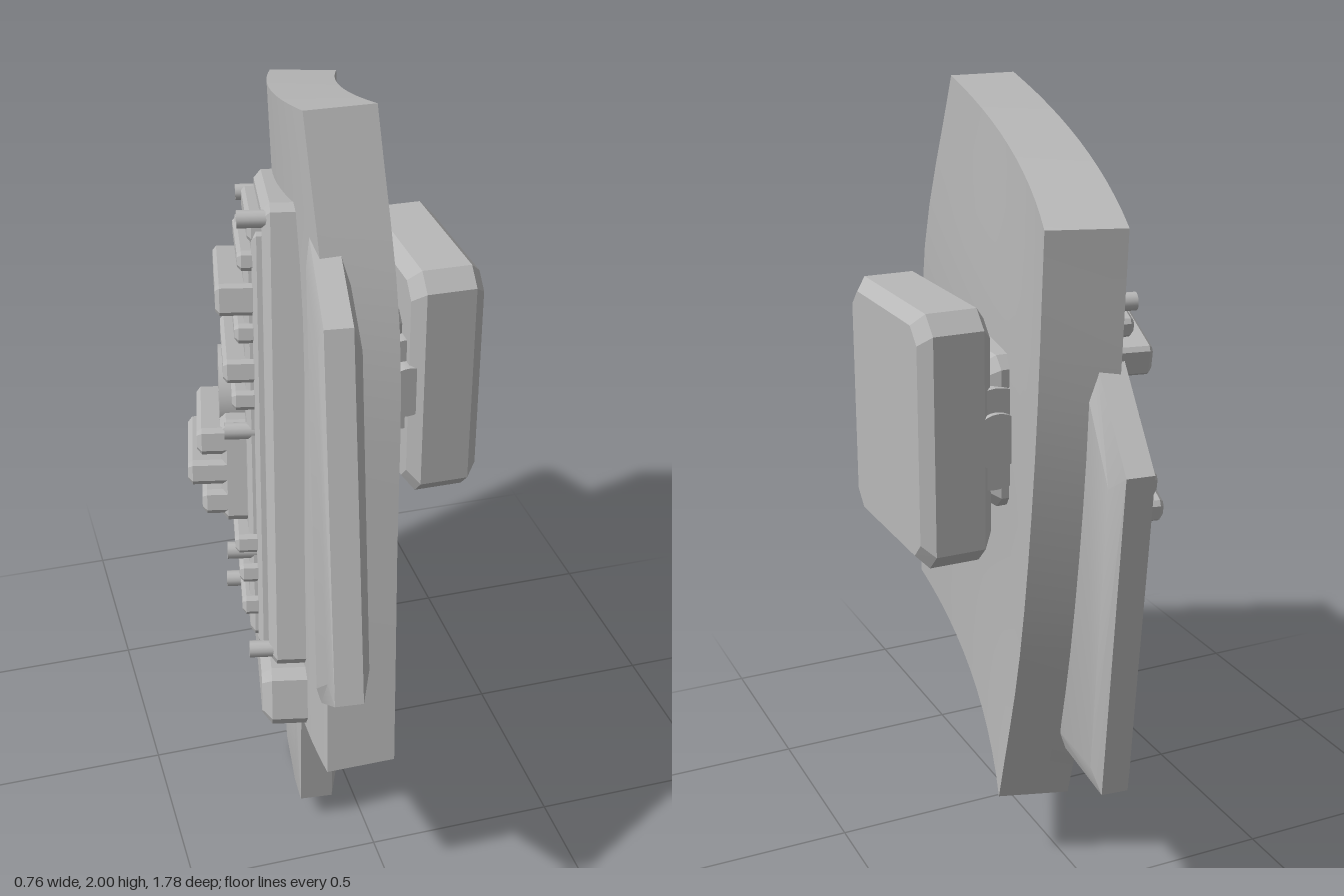
import * as THREE from 'three';
import { toCreasedNormals } from 'three/addons/utils/BufferGeometryUtils.js';

const grey = new THREE.MeshStandardMaterial({ color: 0xb8b8b8 });
grey.name = 'plain grey';

// Joins equal-length loops of points into a closed solid; caps are strips across each end loop.
function loft(rings, crease = 0.5) {
  const tris = [];
  const n = rings[0].length;
  const quad = (a, b, c, d) => tris.push(a, b, c, a, c, d);
  for (let r = 0; r + 1 < rings.length; r++) {
    for (let i = 0; i < n; i++) {
      const j = (i + 1) % n;
      quad(rings[r][i], rings[r][j], rings[r + 1][j], rings[r + 1][i]);
    }
  }
  const first = rings[0], last = rings[rings.length - 1];
  for (let i = 0; i < n / 2 - 1; i++) {
    const k = n - 1 - i;
    quad(first[i], first[k], first[k - 1], first[i + 1]);
    quad(last[i], last[i + 1], last[k - 1], last[k]);
  }
  // Turn the solid outward if its volume comes out negative.
  let volume = 0;
  const cross = new THREE.Vector3();
  for (let i = 0; i < tris.length; i += 3) volume += tris[i].dot(cross.crossVectors(tris[i + 1], tris[i + 2]));
  if (volume < 0) tris.reverse();
  const geometry = new THREE.BufferGeometry().setFromPoints(tris);
  geometry.computeVertexNormals();
  return toCreasedNormals(geometry, crease);
}

// Stacks copies of an outline at [depth, inset] levels, placed in space by a mapping.
function bevelled(outline, levels, place) {
  const as = outline.map(p => p[0]), bs = outline.map(p => p[1]);
  const ca = (Math.min(...as) + Math.max(...as)) / 2, ha = Math.max(...as) - ca;
  const cb = (Math.min(...bs) + Math.max(...bs)) / 2, hb = Math.max(...bs) - cb;
  return loft(levels.map(([d, inset]) => outline.map(([a, b]) =>
    place(ca + (a - ca) * (1 - inset / ha), cb + (b - cb) * (1 - inset / hb), d))), 0.3);
}

// Rectangle with cut corners.
function cutRect(a0, a1, b0, b1, c) {
  return [[a0 + c, b0], [a1 - c, b0], [a1, b0 + c], [a1, b1 - c],
    [a1 - c, b1], [a0 + c, b1], [a0, b1 - c], [a0, b0 + c]];
}

export function createModel() {
  const model = new THREE.Group();
  const add = (name, geometry, parent = model) => {
    const mesh = new THREE.Mesh(geometry, grey);
    mesh.name = name;
    parent.add(mesh);
    return mesh;
  };

  // Curved main plate: front and back edges joined by a parabolic section.
  const curve = pts => new THREE.CatmullRomCurve3(pts.map(p => new THREE.Vector3(...p)));
  const frontEdge = curve([[0.065, 2, 0.21], [0.065, 1.52, 0.41], [0.03, 0.98, 0.54], [0, 0.44, 0.65]]);
  const backEdge = curve([[0.215, 1.78, -0.64], [0.215, 1.25, -0.6], [0.195, 0.7, -0.48], [0.17, 0.2, -0.3]]);
  const rings = [];
  for (let s = 0; s <= 12; s++) {
    const f = frontEdge.getPoint(s / 12), b = backEdge.getPoint(s / 12);
    const outer = [], inner = [];
    for (let i = 0; i <= 12; i++) {
      const t = i / 12;
      const p = f.clone().lerp(b, t);
      p.x = f.x + (b.x - f.x) * t * t;
      outer.push(p);
      inner.unshift(new THREE.Vector3(p.x - 0.175, p.y, p.z - 0.055 * t));
    }
    rings.push([...outer, ...inner]);
  }
  add('mainPlate', loft(rings));

  // Three slanted wing plates, outlines given as [z, y].
  const wing = (name, outline, x0, slope, thick) => add(name, bevelled(outline,
    [[0, 0.05], [0.012, 0], [thick - 0.012, 0], [thick + 0.008, 0.07]],
    (z, y, d) => new THREE.Vector3(x0 + slope * z + d, y, z + d * 0.1)));
  wing('frontWing', [[0.25, 1.71], [0.605, 1.66], [0.88, 0.855], [0.55, 0.58]], -0.073, -0.185, 0.09);
  wing('backWing', [[-0.65, 1.47], [-0.895, 1.29], [-0.76, 0.44], [-0.37, 0.36]], -0.14, -0.225, 0.09);
  wing('tailWing', [[0.4, 0.5], [0.355, 0.075], [0.07, 0.003], [-0.2, 0.42]], -0.12, -0.165, 0.11);

  // Side box with chamfered edges and its pivot bracket.
  const sideways = (z, y, x) => new THREE.Vector3(x, y, z);
  add('sideBox', bevelled(cutRect(-0.325, 0.172, 0.88, 1.525, 0.045),
    [[0.185, 0.035], [0.215, 0], [0.345, 0], [0.375, 0.03]], sideways));
  add('bracket', bevelled(cutRect(-0.3, 0.09, 1.01, 1.4, 0.03),
    [[0.03, 0], [0.16, 0], [0.19, 0.02]], sideways));
  for (const [name, radius, z0, z1] of [['pivotDrum', 0.13, -0.31, 0.115], ['pivotPin', 0.07, -0.325, 0.155]]) {
    const drum = add(name, new THREE.CylinderGeometry(radius, radius, z1 - z0, 32).rotateX(Math.PI / 2));
    drum.position.set(0.18, 1.2, (z0 + z1) / 2);
  }

  // Tilted equipment panel; local x runs forward, y up, z outward.
  const panel = new THREE.Group();
  panel.name = 'equipmentPanel';
  const across = new THREE.Vector3(-0.19, 0.24, 0.95).normalize();
  const up = new THREE.Vector3(0.06, 0.97, -0.24);
  up.addScaledVector(across, -up.dot(across)).normalize();
  panel.applyMatrix4(new THREE.Matrix4().makeBasis(across, up, across.clone().cross(up))
    .setPosition(-0.12, 1.08, -0.04));
  model.add(panel);
  const local = (a, b, d) => new THREE.Vector3(a, b, d);
  const block = (name, a0, a1, b0, b1, d0, d1, c = 0.012) => add(name,
    bevelled(cutRect(a0, a1, b0, b1, c), [[d0, 0], [d1 - c, 0], [d1, c]], local), panel);

  block('panelBase', -0.29, 0.29, -0.6, 0.6, -0.07, 0.04, 0.02);
  block('panelStep', -0.25, 0.26, -0.56, 0.53, 0.03, 0.065);
  block('panelBed', -0.19, 0.24, -0.53, 0.45, 0.06, 0.085);
  block('bottomClamp', -0.3, 0.3, -0.77, -0.61, -0.08, 0.06, 0.025);

  // Raised rails along the long edge.
  for (const a of [-0.275, -0.23, -0.185]) {
    block('edgeRail', a, a + 0.025, -0.52, 0.5, 0.03, 0.05 + (a + 0.275) * 0.5, 0.006);
  }

  // Cross slats: [bottom, top, outer depth].
  for (const [b0, b1, d] of [[0.5, 0.56, 0.075], [0.43, 0.48, 0.1], [0.32, 0.4, 0.155], [0.25, 0.3, 0.11],
    [0.15, 0.21, 0.14], [0.08, 0.13, 0.12], [-0.3, -0.25, 0.12], [-0.38, -0.33, 0.11], [-0.47, -0.42, 0.105]]) {
    block('crossSlat', -0.25, 0.25, b0, b1, 0.03, d, 0.01);
  }

  // Central round boss and stacked block in front of it.
  const boss = add('roundBoss', new THREE.CylinderGeometry(0.12, 0.12, 0.1, 32).rotateX(Math.PI / 2), panel);
  boss.position.set(-0.02, 0.06, 0.1);
  block('stackBase', -0.23, 0.17, -0.24, 0.03, 0.06, 0.15, 0.015);
  for (const [b0, b1, d] of [[-0.06, 0.01, 0.21], [-0.14, -0.075, 0.235], [-0.22, -0.155, 0.2]]) {
    block('stackSlat', -0.24, 0.17, b0, b1, 0.1, d, 0.012);
  }

  // Fastening pins.
  for (const [a, b, d] of [[0.26, 0.56, 0.09], [-0.265, 0.54, 0.08], [-0.265, -0.57, 0.08], [0.26, -0.56, 0.08],
    [0.22, 0.02, 0.13], [-0.21, 0.04, 0.13], [-0.1, -0.51, 0.13], [0.22, -0.3, 0.13]]) {
    const pin = add('pin', new THREE.CylinderGeometry(0.022, 0.022, d, 12).rotateX(Math.PI / 2), panel);
    pin.position.set(a, b, d / 2 + 0.01);
  }
  return model;
}
